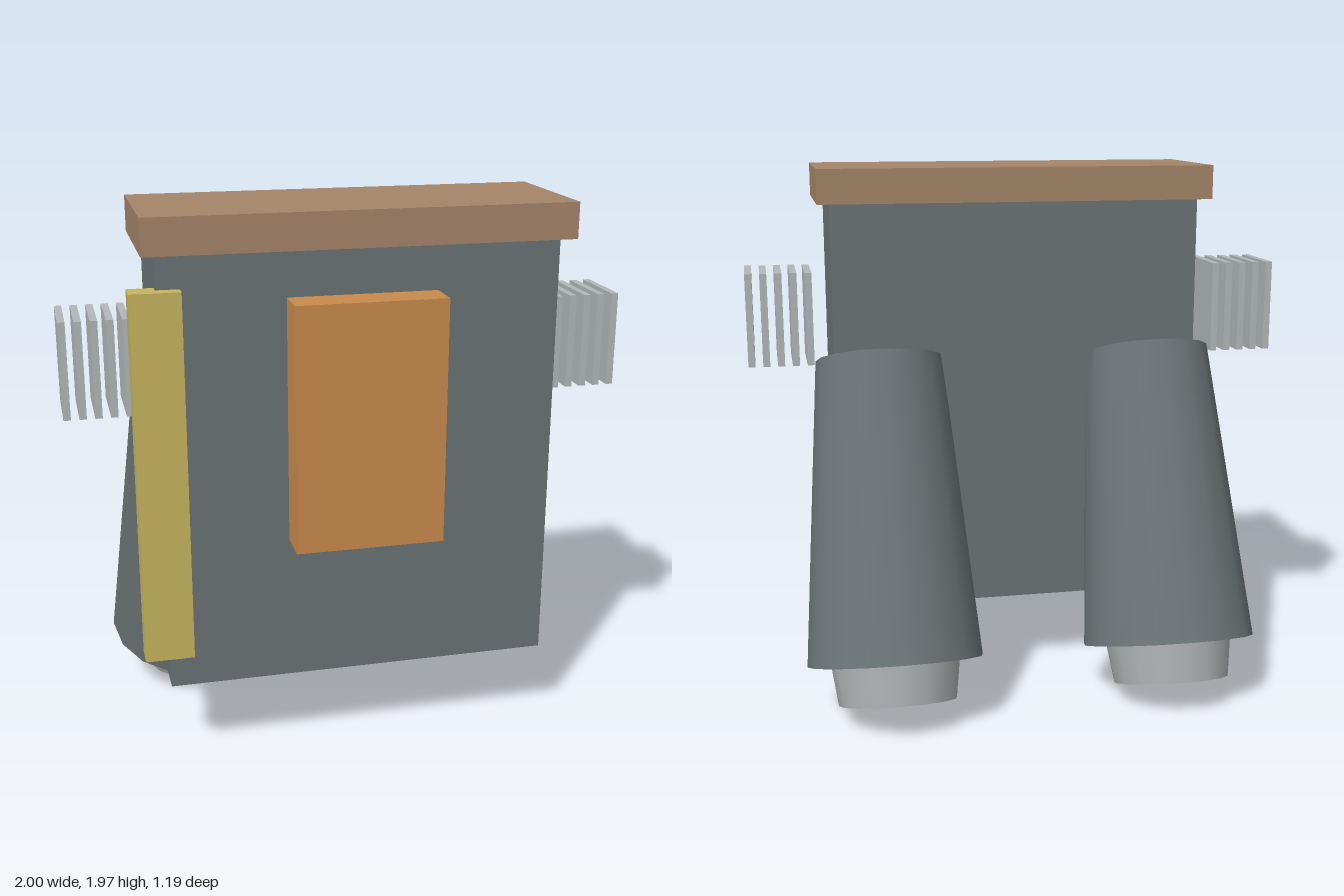
import * as THREE from 'three';

const mat = (name, color, side = THREE.FrontSide) => {
  const m = new THREE.MeshStandardMaterial({ color, side });
  m.name = name;
  return m;
};

export function createModel() {
  const model = new THREE.Group();
  model.name = 'thrusterPack';

  const slate = mat('slate grey', 0x697375);
  const brown = mat('brown', 0xa48468);
  const orange = mat('orange', 0xc88a4c);
  const yellow = mat('yellow', 0xc6b45e);
  const silver = mat('silver', 0xb1b7b9);
  const steel = mat('steel', 0xa8abac, THREE.DoubleSide);

  // Box given by its low and high corners
  const box = (name, material, [x0, y0, z0], [x1, y1, z1]) => {
    const mesh = new THREE.Mesh(new THREE.BoxGeometry(x1 - x0, y1 - y0, z1 - z0), material);
    mesh.position.set((x0 + x1) / 2, (y0 + y1) / 2, (z0 + z1) / 2);
    mesh.name = name;
    model.add(mesh);
  };

  // Pack body with lid, front panel and corner strip
  box('body', slate, [-0.69, 0.31, 0.033], [0.69, 1.85, 0.465]);
  box('lid', brown, [-0.735, 1.85, -0.01], [0.735, 1.975, 0.508]);
  box('frontPanel', orange, [-0.26, 0.83, 0.45], [0.26, 1.69, 0.595]);
  box('cornerStrip', yellow, [-0.78, 0.44, 0.425], [-0.61, 1.735, 0.512]);

  for (const side of [-1, 1]) {
    // Stack of five cooling fins
    for (let i = 0; i < 5; i++) {
      const x = side * (0.773 + i * 0.0535);
      box('coolingFin', silver, [x - 0.0125, 1.265, 0.03], [x + 0.0125, 1.605, 0.29]);
    }

    // Tilted thruster; its origin is the centre of the wide lower end
    const thruster = new THREE.Group();
    thruster.name = side > 0 ? 'leftThruster' : 'rightThruster';
    thruster.position.set(side * 0.518, 0.2145, -0.29);
    thruster.rotation.x = THREE.MathUtils.degToRad(20);

    const length = 1.12;
    const cone = new THREE.Mesh(new THREE.CylinderGeometry(0.237, 0.322, length, 16), slate);
    cone.name = 'thrusterCone';
    cone.position.y = length / 2;

    // Open exhaust ring below the cone
    const nozzle = new THREE.Mesh(new THREE.CylinderGeometry(0.237, 0.216, 0.148, 16, 1, true), steel);
    nozzle.name = 'nozzle';
    nozzle.position.y = -0.074;

    thruster.add(cone, nozzle);
    model.add(thruster);
  }
  return model;
}
